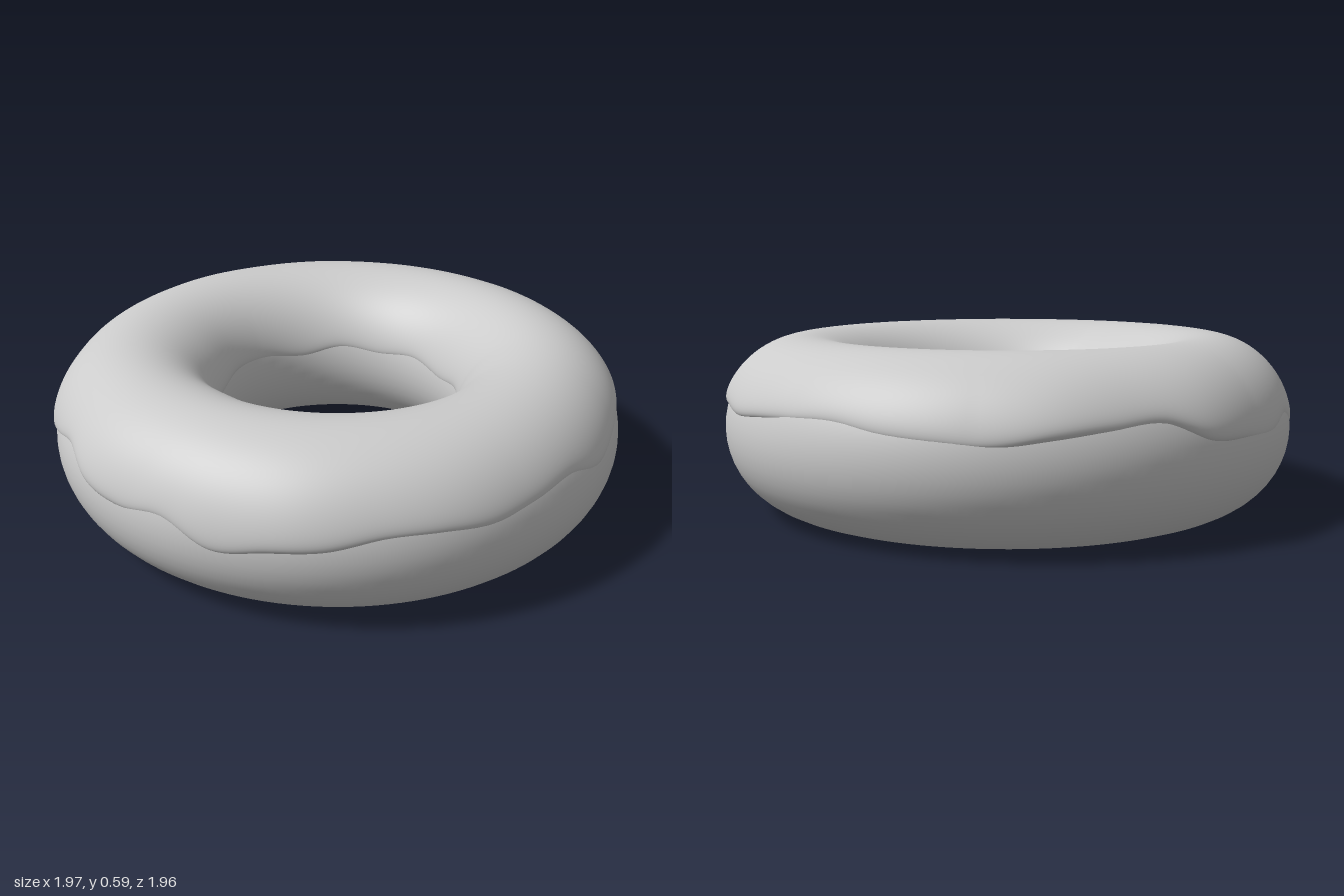
import * as THREE from 'three';

const RING = 0.70, TUBE = 0.28, MID_Y = 0.285, ICING_TOP = 0.305;

// Values spread evenly round the ring (angle 0 at +x, turning towards +z)
const OUTER_EDGE_Y = [
  0.37, 0.39, 0.39, 0.375, 0.35, 0.39, 0.37, 0.345, 0.355, 0.355, 0.32, 0.305,
  0.28, 0.345, 0.32, 0.33, 0.39, 0.35, 0.30, 0.305, 0.30, 0.355, 0.32, 0.325,
  0.335, 0.40, 0.39, 0.37, 0.35, 0.36, 0.375, 0.40, 0.395, 0.38, 0.365, 0.375,
];
const OUTER_RADIUS = [
  1.0, 0.995, 0.985, 0.985, 0.985, 0.99, 0.99, 1.0, 0.99, 0.985, 1.0, 0.985,
  0.995, 0.985, 0.975, 0.985, 1.0, 0.99, 1.0, 0.985, 0.98, 0.98, 0.995, 0.995,
];
const INNER_EDGE_Y = [
  0.34, 0.31, 0.35, 0.33, 0.345, 0.33, 0.30, 0.35, 0.34, 0.335, 0.325, 0.35,
  0.345, 0.32, 0.35, 0.335, 0.35, 0.32,
];
const INNER_RADIUS = [
  0.425, 0.41, 0.42, 0.43, 0.42, 0.415, 0.43, 0.40, 0.41, 0.41, 0.40, 0.41,
  0.415, 0.42, 0.42, 0.42, 0.415, 0.43,
];

// Smooth periodic lookup (t in 0..1) through a ring of values
function ringValue(values, t) {
  const n = values.length, s = t * n, i = Math.floor(s), f = s - i;
  const [a, b, c, d] = [-1, 0, 1, 2].map((k) => values[(i + k + n) % n]);
  return b + 0.5 * f * (c - a + f * (2 * a - 5 * b + 4 * c - d + f * (3 * (b - c) + d - a)));
}

// Icing skin: an arc over the tube between two wavy edges that curl into the dough
function icingGeometry(around = 288, across = 56) {
  const positions = [], indices = [], row = across + 1;
  for (let i = 0; i < around; i++) {
    const t = i / around, theta = t * Math.PI * 2;
    const start = Math.asin((ringValue(OUTER_EDGE_Y, t) - MID_Y) / 0.295);
    const end = Math.PI - Math.asin((ringValue(INNER_EDGE_Y, t) - MID_Y) / 0.295);
    const outer = ringValue(OUTER_RADIUS, t) - RING;
    const inner = RING - ringValue(INNER_RADIUS, t);
    for (let j = 0; j <= across; j++) {
      const v = 0.5 - 0.5 * Math.cos(Math.PI * j / across);
      const phi = start + (end - start) * v;
      const c = Math.cos(phi), s = Math.sin(phi);
      const side = Math.max(c > 0 ? outer : inner, TUBE + 0.006);
      const full = ICING_TOP + (side - ICING_TOP) * c * c;
      const curl = Math.sqrt(Math.max(0, 1 - Math.abs(2 * v - 1) ** 20));
      const tube = TUBE - 0.008 + (full - TUBE + 0.008) * curl;
      const r = RING + tube * c;
      positions.push(r * Math.cos(theta), MID_Y + tube * s, r * Math.sin(theta));
      if (j < across) {
        const a = i * row + j, b = ((i + 1) % around) * row + j;
        indices.push(a, a + 1, b, b, a + 1, b + 1);
      }
    }
  }
  const geometry = new THREE.BufferGeometry();
  geometry.setAttribute('position', new THREE.Float32BufferAttribute(positions, 3));
  geometry.setIndex(indices);
  geometry.computeVertexNormals();
  return geometry;
}

export function createModel() {
  const group = new THREE.Group();
  group.name = 'donut';

  // Dough ring
  const doughGeometry = new THREE.TorusGeometry(RING, TUBE, 48, 144);
  doughGeometry.rotateX(-Math.PI / 2);
  doughGeometry.scale(1, MID_Y / TUBE, 1);
  const dough = new THREE.Mesh(doughGeometry, new THREE.MeshStandardMaterial({ color: 0xcccccc }));
  dough.name = 'dough';
  dough.position.y = MID_Y;
  group.add(dough);

  // Dripping icing over the upper half
  const icing = new THREE.Mesh(
    icingGeometry(),
    new THREE.MeshStandardMaterial({ color: 0xcccccc, side: THREE.DoubleSide }),
  );
  icing.name = 'icing';
  group.add(icing);

  return group;
}
